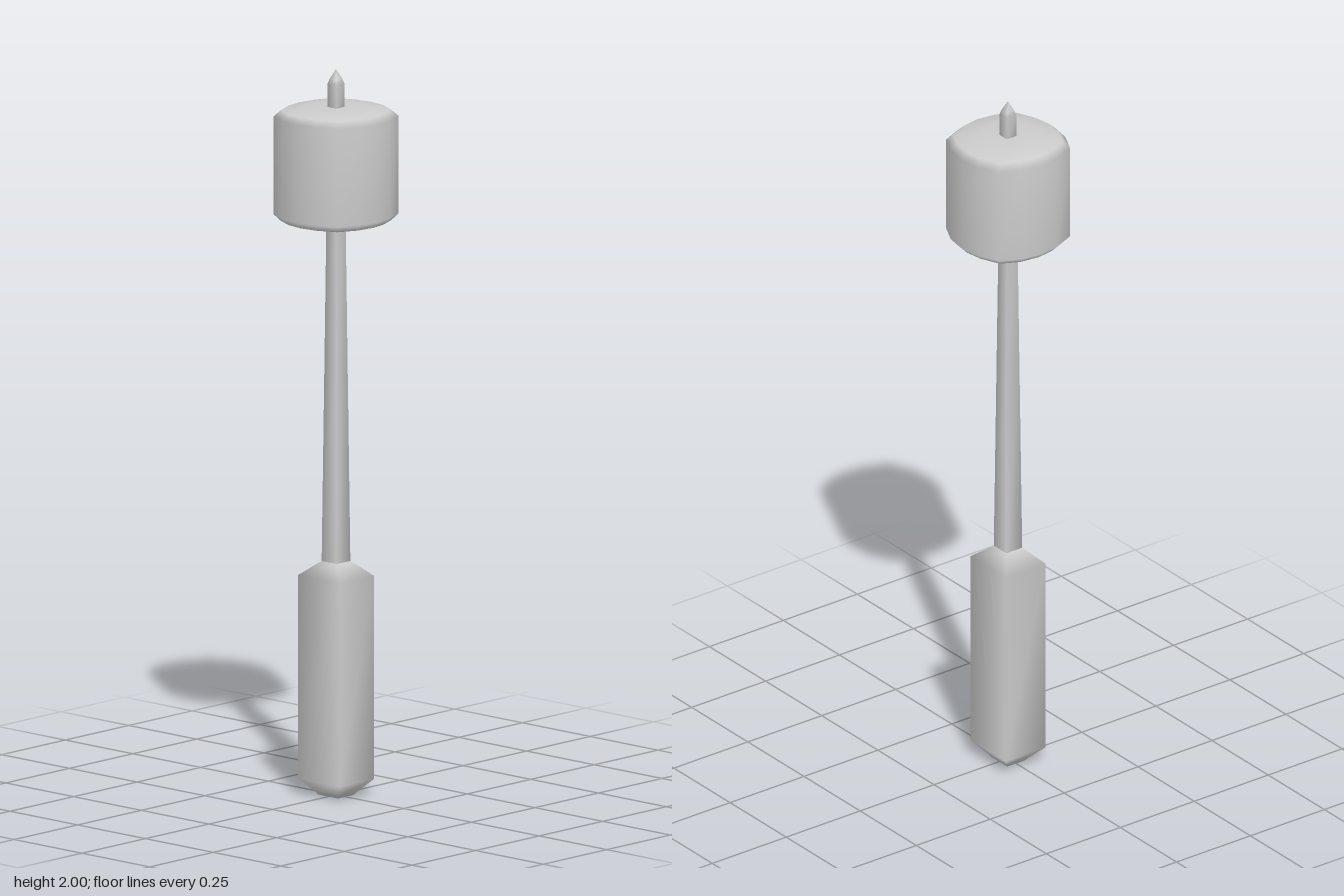
import * as THREE from 'three';

const SQUARE = [[1, 1], [1, -1], [-1, -1], [-1, 1]];

// Head outline: a slightly squared circle of 16 points, mirrored by quarter turns
const QUARTER = [[0, 1], [0.37, 0.94], [0.76, 0.77], [0.94, 0.4]];
const ROUND = [];
for (let q = 0; q < 4; q++) {
  for (const [x, z] of QUARTER) {
    ROUND.push([[x, z], [z, -x], [-x, -z], [-z, x]][q]);
  }
}

// Smooth skin through rings [y, half width, half depth], listed bottom to top and closed at both ends
function loft(name, outline, rings, material) {
  const n = outline.length;
  const positions = [];
  const index = [];
  for (const [y, w, d] of rings) {
    for (const [x, z] of outline) positions.push(x * w, y, z * d);
  }
  for (let r = 0; r < rings.length - 1; r++) {
    for (let i = 0; i < n; i++) {
      const a = r * n + i;
      const b = r * n + ((i + 1) % n);
      index.push(a, b + n, b, a, a + n, b + n);
    }
  }
  const bottom = n * rings.length;
  const last = n * (rings.length - 1);
  positions.push(0, rings[0][0], 0, 0, rings[rings.length - 1][0], 0);
  for (let i = 0; i < n; i++) {
    const j = (i + 1) % n;
    index.push(bottom, i, j, bottom + 1, last + j, last + i);
  }
  // Outlines run clockwise seen from above, so flip each triangle to face outwards
  for (let i = 0; i < index.length; i += 3) {
    [index[i + 1], index[i + 2]] = [index[i + 2], index[i + 1]];
  }
  const geometry = new THREE.BufferGeometry();
  geometry.setAttribute('position', new THREE.Float32BufferAttribute(positions, 3));
  geometry.setIndex(index);
  geometry.computeVertexNormals();
  const mesh = new THREE.Mesh(geometry, material);
  mesh.name = name;
  return mesh;
}

export function createModel() {
  const model = new THREE.Group();
  model.name = 'mallet';
  const grey = new THREE.MeshStandardMaterial({ color: 0xcccccc });

  // Thick grip with chamfered ends
  model.add(loft('grip', SQUARE, [
    [0, 0.03, 0.036], [0.008, 0.036, 0.042], [0.045, 0.067, 0.078],
    [0.605, 0.067, 0.078], [0.645, 0.027, 0.028],
  ], grey));

  // Slim tapering shaft
  model.add(loft('shaft', SQUARE, [
    [0.63, 0.027, 0.028], [1.2, 0.022, 0.022], [1.62, 0.018, 0.018],
  ], grey));

  // Rounded head with softened rims
  model.add(loft('head', ROUND, [
    [1.576, 0.08, 0.08], [1.584, 0.138, 0.137], [1.602, 0.156, 0.155],
    [1.872, 0.156, 0.155], [1.889, 0.138, 0.137], [1.897, 0.08, 0.08],
  ], grey));

  // Pointed tip rising through the head
  model.add(loft('spike', SQUARE, [
    [1.88, 0.016, 0.016], [1.962, 0.016, 0.016], [1.975, 0.012, 0.012], [2, 0.001, 0.001],
  ], grey));

  return model;
}
